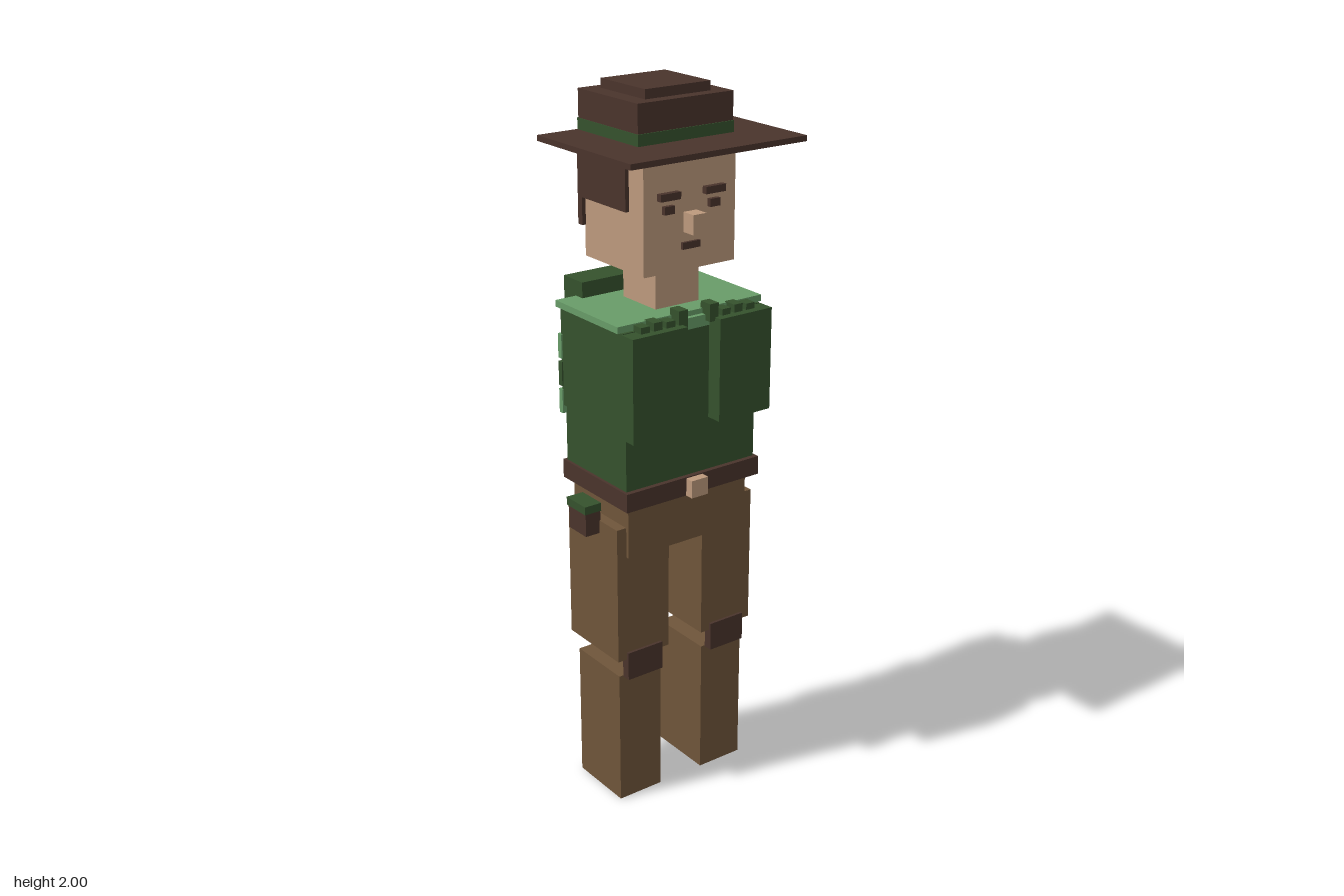
import * as THREE from 'three';

const mat = (name, color) => {
  const m = new THREE.MeshStandardMaterial({ color });
  m.name = name;
  return m;
};

export function createModel() {
  const darkBrown = mat('dark brown leather', 0x4a342c);
  const green = mat('dark green cloth', 0x35522d);
  const lightGreen = mat('light green cloth', 0x689c68);
  const skin = mat('skin', 0xbd9a7d);
  const tan = mat('brown trousers', 0x6f553a);

  const model = new THREE.Group();
  model.name = 'ranger';
  const section = (name) => {
    const g = new THREE.Group();
    g.name = name;
    model.add(g);
    return g;
  };

  // Box given by its extents along each axis
  const box = (parent, name, material, [x0, x1], [y0, y1], [z0, z1]) => {
    const mesh = new THREE.Mesh(new THREE.BoxGeometry(x1 - x0, y1 - y0, z1 - z0), material);
    mesh.position.set((x0 + x1) / 2, (y0 + y1) / 2, (z0 + z1) / 2);
    mesh.name = name;
    parent.add(mesh);
  };
  // Box mirrored on both sides of the body
  const pair = (parent, name, material, [x0, x1], y, z) => {
    box(parent, name + 'Left', material, [x0, x1], y, z);
    box(parent, name + 'Right', material, [-x1, -x0], y, z);
  };

  // Legs
  const legs = section('legs');
  pair(legs, 'shin', tan, [0.072, 0.213], [0, 0.4], [-0.124, 0.074]);
  pair(legs, 'kneePad', darkBrown, [0.085, 0.2], [0.397, 0.48], [0.074, 0.1]);
  pair(legs, 'thigh', tan, [0.057, 0.228], [0.458, 0.857], [-0.14, 0.092]);
  box(legs, 'hips', tan, [-0.198, 0.198], [0.77, 0.925], [-0.155, 0.102]);

  // Belt and holster
  const belt = section('belt');
  box(belt, 'beltStrap', darkBrown, [-0.221, 0.221], [0.92, 0.973], [-0.172, 0.13]);
  box(belt, 'buckle', skin, [-0.027, 0.027], [0.92, 0.97], [0.12, 0.155]);
  box(belt, 'holster', darkBrown, [-0.272, -0.225], [0.82, 0.887], [-0.07, 0.01]);
  box(belt, 'holsterFlap', green, [-0.277, -0.225], [0.887, 0.91], [-0.073, 0.015]);

  // Torso, vest and pack
  const torso = section('torso');
  box(torso, 'shirtLower', green, [-0.213, 0.213], [0.97, 1.14], [-0.163, 0.116]);
  box(torso, 'shirtUpper', green, [-0.222, 0.222], [1.135, 1.412], [-0.166, 0.12]);
  pair(torso, 'vestPanel', green, [0.053, 0.225], [1.125, 1.41], [0.118, 0.167]);
  box(torso, 'yoke', lightGreen, [-0.233, 0.233], [1.412, 1.43], [-0.172, 0.112]);
  box(torso, 'collarFront', lightGreen, [-0.05, 0.05], [1.385, 1.416], [0.11, 0.125]);
  // Shoulder strap studs
  [0.05, 0.09, 0.13, 0.17].forEach((x, i) => {
    const top = i % 2 ? 1.427 : 1.448 - i * 0.008;
    pair(torso, 'stud' + i, green, [x - 0.014, x + 0.014], [1.4, top], [0.105, 0.145]);
  });
  // Back webbing
  [[1.112, lightGreen], [1.19, green], [1.268, lightGreen]].forEach(([y, m], i) =>
    box(torso, 'backBand' + i, m, [-0.226, 0.226], [y, y + 0.068], [-0.176, -0.16]));
  box(torso, 'bedroll', green, [-0.168, 0.171], [1.332, 1.473], [-0.229, -0.142]);

  // Head
  const head = section('head');
  box(head, 'neck', skin, [-0.07, 0.07], [1.42, 1.545], [-0.093, 0.051]);
  box(head, 'skull', skin, [-0.145, 0.145], [1.54, 1.825], [-0.156, 0.104]);
  box(head, 'nose', skin, [-0.021, 0.021], [1.64, 1.692], [0.1, 0.146]);
  box(head, 'mouth', darkBrown, [-0.028, 0.028], [1.596, 1.614], [0.1, 0.112]);
  pair(head, 'eye', darkBrown, [0.056, 0.088], [1.695, 1.716], [0.1, 0.116]);
  pair(head, 'brow', darkBrown, [0.04, 0.103], [1.731, 1.75], [0.1, 0.12]);

  // Hair
  const hair = section('hair');
  box(hair, 'hairTop', darkBrown, [-0.15, 0.15], [1.825, 1.857], [-0.168, 0.09]);
  pair(hair, 'hairSide', darkBrown, [0.142, 0.156], [1.698, 1.857], [-0.168, 0.042]);
  box(hair, 'hairBack', darkBrown, [-0.156, 0.156], [1.624, 1.857], [-0.172, -0.153]);
  box(hair, 'hairTail', darkBrown, [-0.03, 0.03], [1.58, 1.65], [-0.176, -0.158]);

  // Hat
  const hat = section('hat');
  box(hat, 'brim', darkBrown, [-0.271, 0.275], [1.855, 1.87], [-0.179, 0.228]);
  box(hat, 'hatBand', green, [-0.149, 0.151], [1.87, 1.9], [-0.178, 0.088]);
  box(hat, 'crown', darkBrown, [-0.147, 0.15], [1.9, 1.975], [-0.176, 0.085]);
  box(hat, 'crownTop', darkBrown, [-0.1, 0.103], [1.975, 2], [-0.142, 0.051]);

  return model;
}
